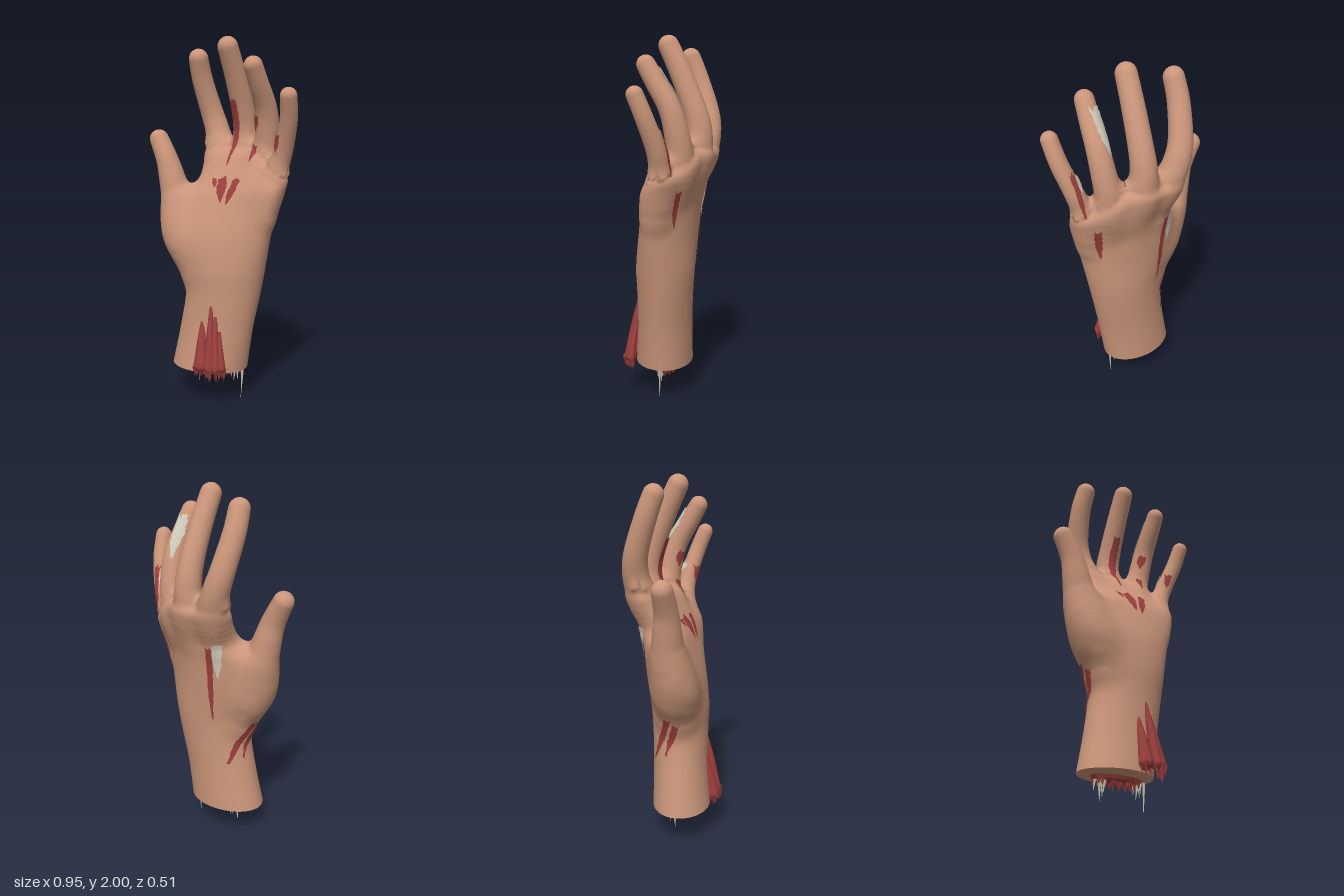
import * as THREE from 'three';

const mat = (name, color, side = THREE.FrontSide) => {
  const m = new THREE.MeshStandardMaterial({ color, side });
  m.name = name;
  return m;
};

// small seeded generator for the ragged edges
let seed = 7;
const rand = () => (seed = (seed * 16807) % 2147483647) / 2147483647;
const { lerp, clamp, smoothstep } = THREE.MathUtils;

// Catmull-Rom interpolation of rows of numbers
function smooth(rows, steps) {
  const at = (i) => rows[clamp(i, 0, rows.length - 1)];
  const out = [];
  for (let i = 0; i < rows.length - 1; i++) {
    for (let s = 0; s < steps; s++) {
      const t = s / steps;
      out.push(at(i).map((b, k) => {
        const a = at(i - 1)[k], c = at(i + 1)[k], d = at(i + 2)[k];
        return b + 0.5 * t * (c - a + t * (2 * a - 5 * b + 4 * c - d + t * (3 * (b - c) + d - a)));
      }));
    }
  }
  return [...out, at(rows.length - 1)];
}

function surface(pos, idx) {
  const g = new THREE.BufferGeometry();
  g.setAttribute('position', new THREE.Float32BufferAttribute(pos, 3));
  g.setIndex(idx);
  g.computeVertexNormals();
  return g;
}

// skin over a list of rings; each ring runs from +x towards +z
function loft(rings) {
  const n = rings[0].length, idx = [];
  for (let i = 0; i < rings.length - 1; i++) {
    for (let j = 0; j < n; j++) {
      const a = i * n + j, b = i * n + ((j + 1) % n);
      idx.push(a, a + n, b, b, a + n, b + n);
    }
  }
  return surface(rings.flat().flatMap((p) => p.toArray()), idx);
}

// round limb through [x, y, z], radius given along 0..1, with a dome at the end; also its distance field
function limb(points, radius, sides = 28) {
  const centre = smooth(points, 7).map((r) => new THREE.Vector3(...r));
  const last = centre.length - 1, radii = centre.map((_, i) => radius(i / last));
  const ring = (c, t, r) => {
    const side = new THREE.Vector3(1, 0, 0).addScaledVector(t, -t.x).normalize();
    const other = side.clone().cross(t);
    return Array.from({ length: sides }, (_, j) => {
      const a = (j / sides) * Math.PI * 2;
      return c.clone().addScaledVector(side, r * Math.cos(a)).addScaledVector(other, r * Math.sin(a));
    });
  };
  let t;
  const rings = centre.map((c, i) => {
    t = centre[Math.min(i + 1, last)].clone().sub(centre[Math.max(i - 1, 0)]).normalize();
    return ring(c, t, radii[i]);
  });
  for (let k = 1; k <= 6; k++) {
    const a = (k / 6) * Math.PI / 2, r = radii[last];
    rings.push(ring(centre[last].clone().addScaledVector(t, r * Math.sin(a)), t, Math.max(r * Math.cos(a), 1e-4)));
  }
  const line = new THREE.Line3(), near = new THREE.Vector3();
  const field = (p) => {
    let best = Infinity;
    for (let i = 0; i < last; i++) {
      const s = line.set(centre[i], centre[i + 1]).closestPointToPointParameter(p, true);
      best = Math.min(best, line.at(s, near).distanceTo(p) - lerp(radii[i], radii[i + 1], s));
    }
    return best;
  };
  return { geometry: loft(rings), field };
}

// digit radius: narrow buried root, then an easing taper from base to tip
const taper = (base, tip) => (t) =>
  (tip + (base - tip) * (1 - t) ** 1.3) * lerp(0.6, 1, smoothstep(t, 0, 0.18));

// stump and palm rings: y, left x, right x, z at left / middle / right, half thickness
function palmSolid() {
  const rows = smooth([
    [0.18, -0.28, 0.16, 0.05, 0.04, 0.02, 0.163],
    [0.4, -0.235, 0.195, 0.04, 0.025, 0.02, 0.153],
    [0.6, -0.205, 0.235, 0.03, 0.015, 0.01, 0.155],
    [0.75, -0.225, 0.265, 0.04, 0.01, 0.01, 0.162],
    [0.92, -0.32, 0.3, 0.05, -0.005, 0.015, 0.156],
    [1.1, -0.32, 0.335, 0.025, -0.045, 0.02, 0.135],
    [1.2, -0.2, 0.35, -0.04, -0.075, 0, 0.125],
    [1.3, -0.175, 0.35, -0.11, -0.115, -0.03, 0.105],
    [1.37, -0.175, 0.335, -0.15, -0.145, -0.04, 0.08],
    [1.41, -0.11, 0.27, -0.16, -0.155, -0.07, 0.015],
  ], 6);
  const n = 64;
  // knuckle line slopes down to the little finger
  const drop = (x, y) => 0.75 * smoothstep(y, 1.15, 1.42) * Math.max(0, x - 0.16);
  const bend = ([, , , zl, zm, zr], u) => zm + (zr - zl) / 2 * u + ((zr + zl) / 2 - zm) * u * u;
  const rings = rows.map((row) => Array.from({ length: n }, (_, j) => {
    const [y, xl, xr] = row, a = (j / n) * Math.PI * 2, u = Math.cos(a);
    const x = (xl + xr) / 2 + (xr - xl) / 2 * u;
    return new THREE.Vector3(x, y - drop(x, y), bend(row, u) + row[6] * Math.sin(a));
  }));
  const cap = (r) => {
    const c = r.reduce((s, p) => s.add(p), new THREE.Vector3()).divideScalar(n);
    return r.map(() => c);
  };
  const top = rows[rows.length - 1][0];
  const field = (p) => {
    let y = p.y;
    for (let k = 0; k < 3; k++) y = p.y + drop(p.x, y);
    const i = clamp(rows.findIndex((r) => r[0] > y), 1, rows.length - 1);
    const low = y >= top ? rows[rows.length - 1] : rows[i - 1], high = y >= top ? low : rows[i];
    const s = y >= top ? 0 : clamp((y - low[0]) / (high[0] - low[0]), 0, 1);
    const row = low.map((v, k) => lerp(v, high[k], s));
    const hx = (row[2] - row[1]) / 2, u = (p.x - row[1] - hx) / hx;
    const v = (p.z - bend(row, clamp(u, -1.2, 1.2))) / row[6], q = Math.hypot(u, v);
    const d = q * (q - 1) / (Math.hypot(u / hx, v / row[6]) + 1e-6);
    return y > top ? Math.hypot(Math.max(d, 0), y - top) : d;
  };
  return { geometry: loft([cap(rings[0]), rings[0], ...rings, cap(rings[rings.length - 1])]), field };
}

const smoothMin = (a, b, k) => Math.min(a, b) - Math.max(k - Math.abs(a - b), 0) ** 2 / (4 * k);

// draw the vertices near a joint onto one rounded surface shared by all the parts
function blend(geometry, field) {
  const pos = geometry.attributes.position, normal = geometry.attributes.normal;
  const p = new THREE.Vector3(), g = new THREE.Vector3(), q = new THREE.Vector3(), e = 0.004;
  const gradient = () => ['x', 'y', 'z'].forEach((k) => {
    q.copy(p)[k] += e;
    const ahead = field(q);
    q[k] -= 2 * e;
    g[k] = (ahead - field(q)) / (2 * e);
  });
  for (let i = 0; i < pos.count; i++) {
    p.fromBufferAttribute(pos, i);
    if (p.y < 0.55 || field(p) < -0.045) continue;
    for (let k = 0; k < 4; k++) {
      gradient();
      p.addScaledVector(g, clamp(-field(p) / Math.max(g.lengthSq(), 0.2), -0.03, 0.03));
    }
    gradient();
    g.normalize();
    pos.setXYZ(i, p.x, p.y, p.z);
    normal.setXYZ(i, g.x, g.y, g.z);
  }
}

// thin ragged strip laid on the skin from a pointed to a blunt end, seen along one axis
function patch(skins, axis, dir, [c0, y0, c1, y1, width]) {
  const ray = new THREE.Raycaster(), cols = 5, rows = 16, pos = [], idx = [];
  const d = new THREE.Vector3();
  d[axis] = -dir;
  let last = null;
  for (let i = 0; i <= rows; i++) {
    const t = i / rows, w = width * lerp(0.3, 1, smoothstep(t, 0, 0.5));
    for (let j = 0; j < cols; j++) {
      const ragged = j % (cols - 1) ? 1 : 0.85 + 0.3 * rand();
      const across = lerp(c0, c1, t) + (j / (cols - 1) - 0.5) * w * ragged;
      const y = lerp(y0, y1, t) + (i % rows ? 0 : (rand() - 0.5) * 0.03);
      const from = axis === 'x' ? new THREE.Vector3(dir * 2, y, across) : new THREE.Vector3(across, y, dir * 2);
      ray.set(from, d);
      const hit = ray.intersectObjects(skins, false)[0];
      if (hit) last = hit.point.clone().addScaledVector(hit.face.normal, 0.007);
      pos.push(...last.toArray());
      if (i && j) {
        const a = i * cols + j;
        idx.push(a - cols - 1, a - cols, a, a - cols - 1, a, a - 1);
      }
    }
  }
  return surface(pos, idx);
}

export function createModel() {
  const model = new THREE.Group();
  model.name = 'severedHand';
  const skin = mat('skin', 0xcb967a);
  const flesh = mat('flesh', 0x9c3f3d, THREE.DoubleSide);
  const bone = mat('bone', 0xcdc8b8, THREE.DoubleSide);
  const add = (name, geometry, material) => {
    const m = new THREE.Mesh(geometry, material);
    m.name = name;
    model.add(m);
    return m;
  };

  // palm and digits, joined by soft webs
  const palm = palmSolid(), digits = [];
  const skins = [add('palm', palm.geometry, skin)];
  const digit = (name, base, tip, points) => {
    const solid = limb(points, taper(base, tip));
    digits.push(solid.field);
    skins.push(add(name, solid.geometry, skin));
  };
  digit('thumb', 0.125, 0.055, [[-0.16, 0.72, 0.03], [-0.24, 0.92, 0.04], [-0.288, 1.08, 0.025],
    [-0.323, 1.22, 0.028], [-0.356, 1.33, 0.032], [-0.415, 1.447, 0.028]]);
  digit('indexFinger', 0.085, 0.055, [[-0.09, 1.2, -0.11], [-0.118, 1.38, -0.172], [-0.158, 1.5, -0.188],
    [-0.188, 1.61, -0.172], [-0.21, 1.78, -0.115], [-0.207, 1.895, -0.073]]);
  digit('middleFinger', 0.083, 0.056, [[0.045, 1.2, -0.1], [0.042, 1.38, -0.168], [0.04, 1.5, -0.178],
    [0.04, 1.62, -0.148], [0.035, 1.8, -0.075], [0.03, 1.942, -0.008]]);
  digit('ringFinger', 0.078, 0.05, [[0.19, 1.18, -0.08], [0.208, 1.36, -0.113], [0.226, 1.5, -0.1],
    [0.235, 1.62, -0.065], [0.232, 1.74, 0.005], [0.228, 1.832, 0.058]]);
  digit('littleFinger', 0.064, 0.044, [[0.27, 1.05, -0.01], [0.298, 1.2, -0.03], [0.332, 1.32, -0.04],
    [0.367, 1.42, -0.03], [0.412, 1.56, 0.01], [0.432, 1.676, 0.053]]);
  const whole = (p) => smoothMin(palm.field(p), digits.reduce((d, f) => smoothMin(d, f(p), 0.04), 1), 0.09);
  skins.forEach((s) => blend(s.geometry, whole));
  model.updateMatrixWorld(true);

  // torn patches: start across, start y, end across, end y, width
  const patches = (name, material, axis, dir, rows) =>
    rows.forEach((row) => add(name, patch(skins, axis, dir, row), material));
  patches('fingerTear', flesh, 'z', 1, [[0.02, 1.31, 0.03, 1.66, 0.04], [0.19, 1.5, 0.2, 1.58, 0.035],
    [0.17, 1.34, 0.185, 1.42, 0.032], [0.342, 1.39, 0.36, 1.48, 0.03]]);
  patches('palmTear', flesh, 'z', 1, [[0.042, 1.12, 0.025, 1.24, 0.06], [0.085, 1.11, 0.118, 1.23, 0.045],
    [-0.015, 1.19, -0.035, 1.235, 0.03]]);
  patches('backTear', flesh, 'z', -1, [[-0.085, 0.75, -0.1, 1.19, 0.032], [0.25, 1, 0.285, 1.2, 0.035],
    [0.335, 1.27, 0.382, 1.52, 0.026]]);
  patches('exposedBone', bone, 'z', -1, [[-0.135, 1.02, -0.14, 1.2, 0.042], [0.342, 1.42, 0.352, 1.5, 0.024],
    [0.205, 1.61, 0.22, 1.81, 0.048]]);
  patches('wristTear', flesh, 'x', -1, [[-0.08, 0.48, 0.01, 0.73, 0.035], [-0.01, 0.52, 0.05, 0.7, 0.035]]);

  // small downward spike
  const spike = (name, material, x, y, z, r, length) => {
    const s = add(name, new THREE.ConeGeometry(r, length, 5), material);
    s.rotation.set(Math.PI + (rand() - 0.5) * 0.3, 0, (rand() - 0.5) * 0.3);
    s.position.set(x, y - length / 2, z);
  };

  // loose tendons on the front of the wrist (top x, top y, end x, end z, end radius), frayed below
  [[-0.02, 0.48, -0.005, 0.205, 0.042], [0.035, 0.56, 0.055, 0.215, 0.032], [0.06, 0.5, 0.09, 0.205, 0.03],
    [0.085, 0.42, 0.118, 0.19, 0.024]].forEach(([x, y, xe, ze, r]) => {
    const path = [[x, y, 0.16], [(x + xe) / 2, y / 2 + 0.12, 0.083 + ze / 2], [xe, 0.23, ze]];
    add('tendon', limb(path, (t) => lerp(0.008, r, t), 8).geometry, flesh);
    for (let k = 0; k < 7; k++) {
      spike('tendonFray', flesh, xe + (rand() - 0.5) * r * 1.8, 0.225, ze + (rand() - 0.4) * r * 1.5,
        0.01, 0.05 + 0.03 * rand());
    }
  });

  // raw flesh, bone ends and splinters under the cut
  const core = add('cutFlesh', new THREE.CylinderGeometry(0.155, 0.14, 0.02, 20), flesh);
  core.scale.z = 0.5;
  core.position.set(-0.03, 0.172, 0.01);
  for (let k = 0; k < 60; k++) {
    const a = rand() * Math.PI * 2, q = Math.sqrt(rand());
    spike('fleshShred', flesh, -0.03 + 0.16 * q * Math.cos(a), 0.175, 0.01 + 0.08 * q * Math.sin(a),
      0.013, 0.025 + 0.025 * rand());
  }
  for (const x of [-0.135, 0.1]) {
    const end = add('boneEnd', new THREE.CylinderGeometry(0.026, 0.022, 0.02, 12), bone);
    end.position.set(x, 0.166, 0.015);
    for (let k = 0; k < 4; k++) {
      spike('boneSplinter', bone, x + (rand() - 0.5) * 0.06, 0.18, 0.015 + (rand() - 0.5) * 0.05,
        0.01, 0.06 + 0.04 * rand());
    }
  }
  spike('boneSplinter', bone, -0.145, 0.18, 0.02, 0.013, 0.135);
  spike('boneSplinter', bone, 0.14, 0.18, 0.015, 0.008, 0.178);
  return model;
}
